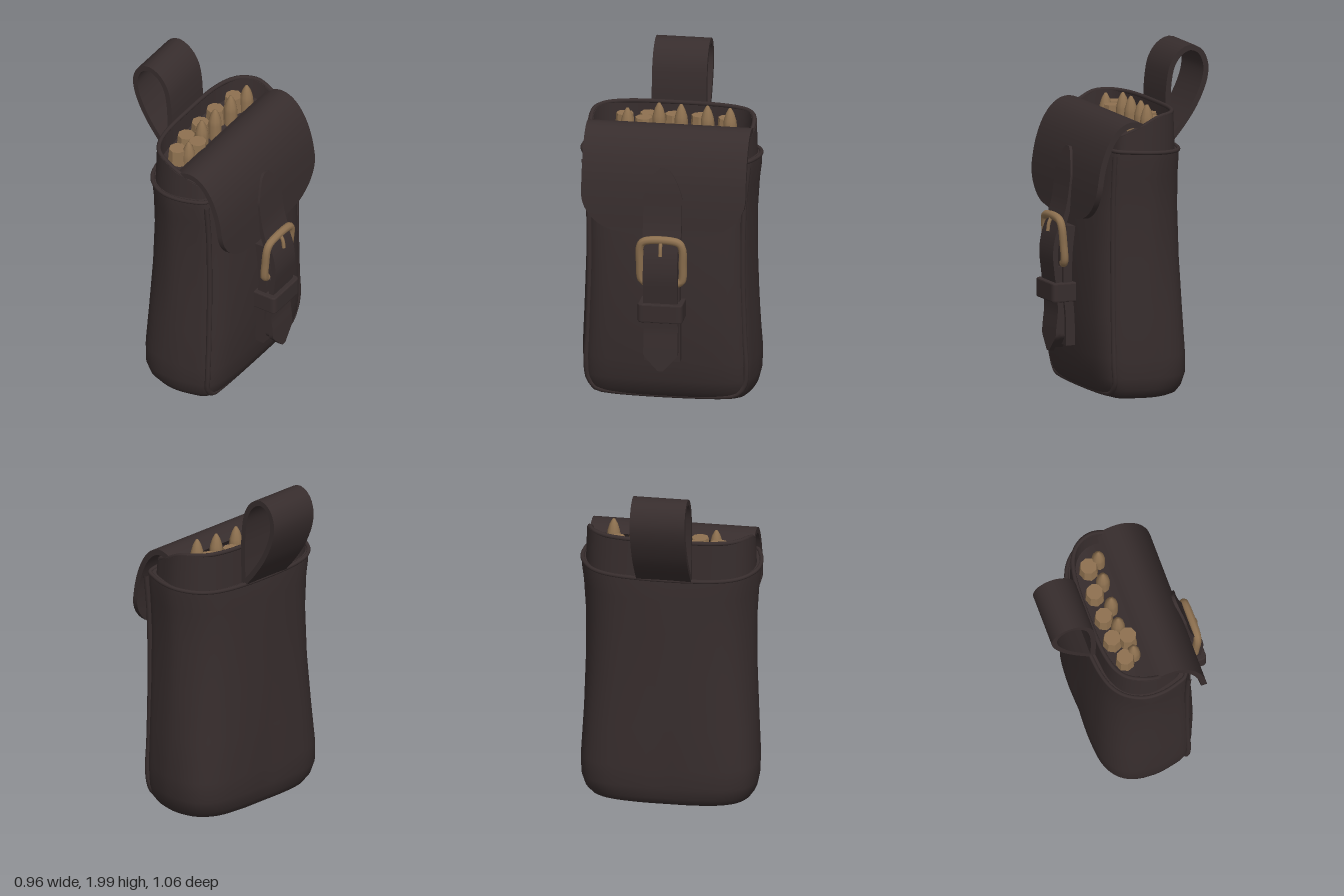
import * as THREE from 'three';
import { toCreasedNormals } from 'three/addons/utils/BufferGeometryUtils.js';

const V = (x, y, z) => new THREE.Vector3(x, y, z);

export function createModel() {
  const group = new THREE.Group();
  const leather = new THREE.MeshStandardMaterial({ color: 0x372d2d });
  leather.name = 'dark leather';
  const brass = new THREE.MeshStandardMaterial({ color: 0x8e7150 });
  brass.name = 'dull brass';

  const add = (name, geometry, material = leather) => {
    const mesh = new THREE.Mesh(geometry, material);
    mesh.name = name;
    group.add(mesh);
  };

  // Skin a list of closed rings and cap both ends
  function loft(rings) {
    const n = rings[0].length, pos = [], index = [];
    rings.forEach(r => r.forEach(p => pos.push(p.x, p.y, p.z)));
    for (let i = 0; i < rings.length - 1; i++)
      for (let j = 0; j < n; j++) {
        const a = i * n + j, b = i * n + (j + 1) % n;
        index.push(a, b, b + n, a, b + n, a + n);
      }
    [0, rings.length - 1].forEach((k, end) => {
      const c = rings[k].reduce((s, p) => s.add(p), V(0, 0, 0)).divideScalar(n);
      const ci = pos.length / 3;
      pos.push(c.x, c.y, c.z);
      for (let j = 0; j < n; j++) {
        const a = k * n + j, b = k * n + (j + 1) % n;
        end ? index.push(ci, a, b) : index.push(ci, b, a);
      }
    });
    const g = new THREE.BufferGeometry();
    g.setAttribute('position', new THREE.Float32BufferAttribute(pos, 3));
    g.setIndex(index);
    return toCreasedNormals(g, 0.7);
  }

  // Leather strip along an x,y path; the half width depends on y
  function strip(points, thick, halfWidth, steps = 32) {
    const curve = new THREE.CatmullRomCurve3(points.map(p => V(p[0], p[1], 0)), false, 'centripetal');
    const rings = [];
    for (let i = 0; i <= steps; i++) {
      const p = curve.getPointAt(i / steps), t = curve.getTangentAt(i / steps), w = halfWidth(p.y);
      const nx = -t.y * thick / 2, ny = t.x * thick / 2;
      rings.push([[1, -w], [1, w], [-1, w], [-1, -w]].map(([s, z]) => V(p.x + s * nx, p.y + s * ny, z)));
    }
    return loft(rings);
  }

  const tube = (points, r, closed = false) => {
    const curve = new THREE.CatmullRomCurve3(points, closed, 'centripetal');
    return new THREE.TubeGeometry(curve, points.length * 6, r, 8, closed);
  };

  // Plan outline of the pouch: rounded back, squarer front
  const half = [[-0.26, 0], [-0.255, 0.2], [-0.225, 0.36], [-0.15, 0.46], [0, 0.513], [0.15, 0.495],
    [0.235, 0.465], [0.265, 0.41], [0.285, 0.25], [0.29, 0]];
  const outlineCurve = new THREE.CatmullRomCurve3(
    [...half, ...half.slice(1, -1).reverse().map(([x, z]) => [x, -z])].map(([x, z]) => V(x, 0, z)), true, 'centripetal');
  const outline = outlineCurve.getPoints(72).slice(0, 72);

  // One level of the body; pinch draws the back corners in
  const section = (y, sx, sz, bulge, pinch) => outline.map(p => {
    const front = Math.max(0, (p.x - 0.24) / 0.05);
    const corner = Math.min(1, Math.max(0, -p.x) * Math.abs(p.z) / 0.08);
    const k = 1 - pinch * corner;
    return V(p.x * sx * k + front * bulge, y + (y > 1.3 ? 0.06 * p.x : 0), p.z * sz * k);
  });

  // Body: height, depth scale, width scale, front bulge, back corner pinch
  const rim = section(1.45, 0.95, 1.015, -0.015, 0.03);
  const levels = [[0.005, 0.76, 0.86, 0, 0], [0.02, 0.86, 0.92, 0, -0.02], [0.06, 0.94, 0.97, 0.01, -0.04],
    [0.13, 0.99, 1, 0.02, -0.06], [0.25, 1, 1.01, 0.035, -0.05], [0.5, 1, 0.99, 0.052, -0.01],
    [0.8, 0.99, 0.97, 0.05, 0.03], [1.1, 0.98, 0.965, 0.035, 0.05], [1.3, 0.98, 0.99, 0.005, 0.05],
    [1.4, 0.97, 1.015, -0.005, 0.04]];
  add('pouchBody', loft([...levels.map(l => section(...l)), rim]));
  add('bodyRim', tube(rim.filter((_, i) => i % 3 === 0), 0.012, true));

  // Inner collar, high at the back and sloping under the flap
  const collar = (s, drop) => outline.map(p => {
    const x = p.x * 0.8 * s;
    return V(x, 1.658 - 0.48 * Math.max(0, x + 0.05) - drop, p.z * 0.955 * s);
  });
  add('innerCollar', loft([section(1.38, 0.84, 0.97, 0, 0), collar(1, 0), collar(0.94, 0), collar(0.92, 0.12)]));
  add('collarRim', tube(collar(0.97, 0).filter((_, i) => i % 3 === 0), 0.013, true));

  // Piping around the front panel
  const frontEdge = [[1.44, 0.48], [1.2, 0.456], [0.8, 0.448], [0.4, 0.458], [0.2, 0.468], [0.1, 0.455], [0.045, 0.41], [0.03, 0.34]]
    .map(([y, z]) => V(y < 0.15 ? 0.235 : 0.245, y, z));
  const mirrored = points => [...points, ...points.slice().reverse().map(p => V(p.x, p.y, -p.z))];
  add('frontPiping', tube(mirrored(frontEdge), 0.016));

  // Flap with rounded lower corners
  add('flap', strip([[0.03, 1.575], [0.08, 1.605], [0.14, 1.615], [0.2, 1.59], [0.26, 1.52], [0.31, 1.4], [0.338, 1.25], [0.354, 1.04]],
    0.034, y => {
      const t = Math.min(1, Math.max(0, (1.27 - y) / 0.23));
      return 0.2 + 0.28 * Math.sqrt(1 - t * t);
    }, 56));

  // Upper tongue, rounded to a point at the top
  add('flapTongue', strip([[0.322, 1.43], [0.345, 1.32], [0.36, 1.2], [0.376, 1.1], [0.405, 1.0], [0.418, 0.96]], 0.03,
    y => 0.112 * Math.sqrt(Math.min(1, Math.max(0.004, (1.435 - y) / 0.16)))));

  // Lower strap passing through the buckle and keeper, over a backing
  add('strap', strip([[0.41, 1.0], [0.44, 0.92], [0.455, 0.82], [0.445, 0.7], [0.43, 0.58], [0.425, 0.48], [0.435, 0.38], [0.445, 0.24]], 0.03,
    y => y < 0.33 ? 0.015 + 0.085 * (y - 0.24) / 0.09 : 0.1));
  add('strapBacking', strip([[0.36, 0.98], [0.378, 0.8], [0.378, 0.6], [0.365, 0.45], [0.362, 0.28]], 0.055, () => 0.105));
  add('strapFiller', strip([[0.412, 0.74], [0.402, 0.6], [0.395, 0.45], [0.405, 0.26]], 0.06,
    y => y < 0.33 ? 0.02 + 0.065 * (y - 0.26) / 0.07 : 0.085));

  // Keeper band around the strap
  const keeper = new THREE.Shape();
  keeper.moveTo(0.33, -0.125).lineTo(0.455, -0.125).quadraticCurveTo(0.477, -0.125, 0.477, -0.1);
  keeper.lineTo(0.477, 0.1).quadraticCurveTo(0.477, 0.125, 0.455, 0.125).lineTo(0.33, 0.125);
  const keeperGeometry = new THREE.ExtrudeGeometry(keeper, {
    depth: 0.095, bevelThickness: 0.008, bevelSize: 0.006, bevelSegments: 2, curveSegments: 6 });
  add('strapKeeper', keeperGeometry.rotateX(-Math.PI / 2).translate(0, 0.548, 0));

  // Buckle frame and pin
  const side = [[0.405, 0.765, 0.1], [0.406, 0.78, 0.118], [0.415, 0.88, 0.125], [0.426, 0.985, 0.122], [0.43, 1.018, 0.1]]
    .map(p => V(...p));
  add('buckleFrame', tube(mirrored(side), 0.024), brass);
  [1, -1].forEach(s => add('buckleTip', new THREE.SphereGeometry(0.024, 10, 8).translate(0.405, 0.765, s * 0.1), brass));
  add('bucklePin', tube([V(0.43, 1.03, 0), V(0.452, 0.99, 0), V(0.46, 0.94, 0)], 0.011), brass);

  // Hanging loop at the back
  add('hangingLoop', strip([[-0.235, 1.44], [-0.312, 1.53], [-0.395, 1.65], [-0.455, 1.79], [-0.463, 1.88], [-0.43, 1.955], [-0.37, 1.983],
    [-0.305, 1.955], [-0.255, 1.885], [-0.232, 1.78], [-0.225, 1.62], [-0.23, 1.44]], 0.032, () => 0.16, 48));

  // Cartridges: blunt ones along the back, pointed ones in front
  [[-0.09, -0.3], [-0.11, -0.14], [-0.11, 0.015], [-0.11, 0.16], [-0.08, 0.295], [-0.02, 0.175]].forEach(([x, z]) => {
    const casing = new THREE.CylinderGeometry(0.05, 0.058, 0.1, 8);
    add('bluntCartridge', toCreasedNormals(casing, 0.3).translate(x, 1.57, z), brass);
  });
  const bullet = [[0.04, 0], [0.04, 0.1], [0.036, 0.13], [0.024, 0.17], [0.008, 0.2], [0, 0.203]].map(p => new THREE.Vector2(...p));
  [[-0.02, -0.33, 1.5], [-0.04, -0.195, 1.5], [-0.045, -0.04, 1.5], [-0.05, 0.09, 1.5], [-0.02, 0.27, 1.47]].forEach(([x, z, y]) => {
    add('pointedCartridge', new THREE.LatheGeometry(bullet, 10).translate(x, y, z), brass);
  });

  return group;
}
